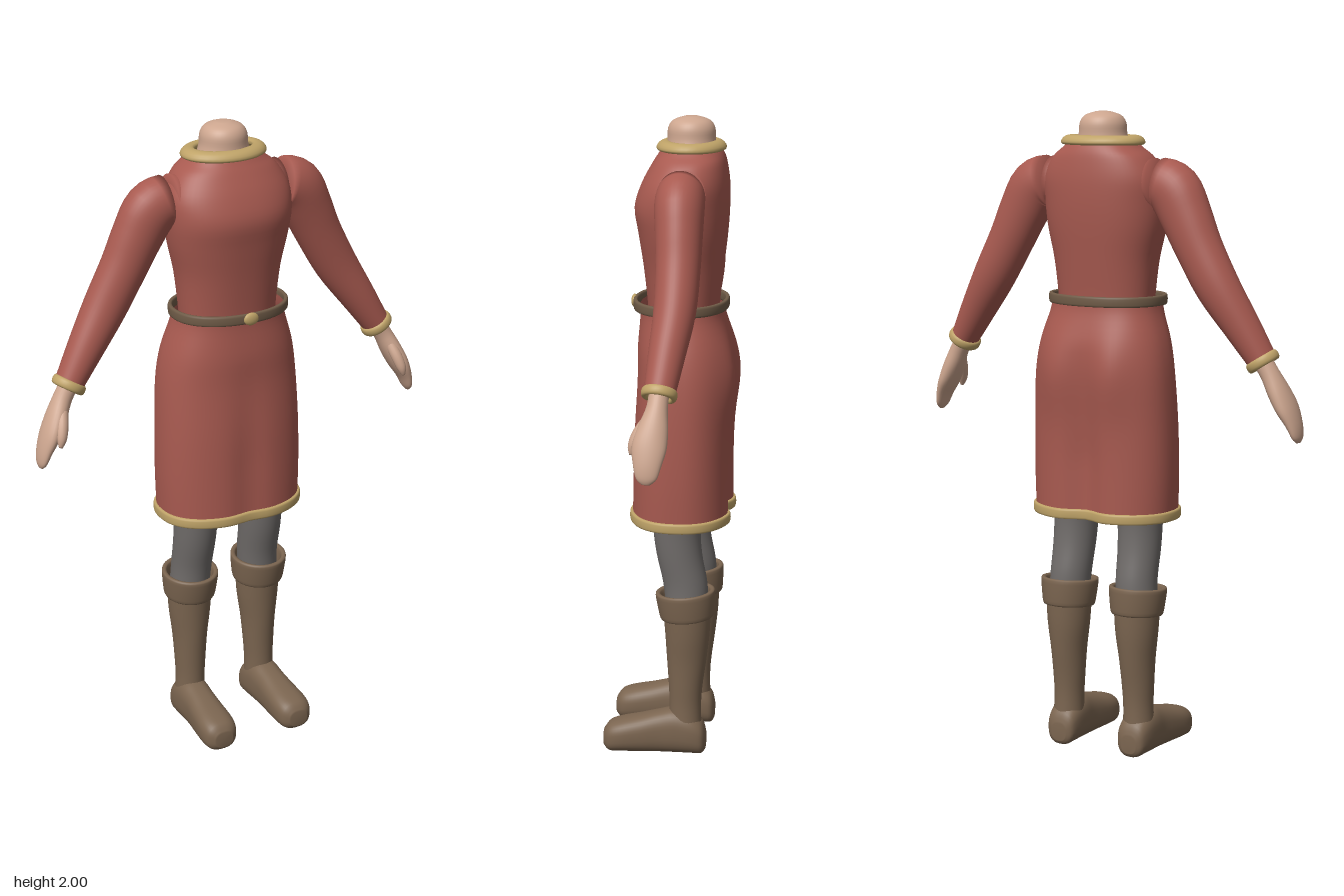
import * as THREE from 'three';

const mat = (name, color) => {
  const m = new THREE.MeshStandardMaterial({ color, side: THREE.DoubleSide });
  m.name = name;
  return m;
};
const V = (x, y, z) => new THREE.Vector3(x, y, z);
const UP = V(0, 1, 0);
const spow = (c, p) => Math.sign(c) * Math.pow(Math.abs(c), p);
const bump = (x, c, w) => Math.exp(-(((x - c) / w) ** 2));

// Skin a tube over rings [x, y, z, halfWidth, halfDepth]; dir fixes the ring plane
function loft(rings, { dir, sub = 4, seg = 40, p = 1, cap0, cap1, deform } = {}) {
  const mix = (k, t, j) => {
    const g = (n) => rings[Math.min(Math.max(n, 0), rings.length - 1)][j];
    const [a, b, c, d] = [g(k - 1), g(k), g(k + 1), g(k + 2)];
    return b + 0.5 * t * (c - a + t * (2 * a - 5 * b + 4 * c - d + t * (3 * (b - c) + d - a)));
  };
  const secs = [];
  for (let k = 0; k < rings.length - 1; k++)
    for (let s = 0; s < sub; s++) secs.push([0, 1, 2, 3, 4].map((j) => mix(k, s / sub, j)));
  secs.push(rings[rings.length - 1]);
  const ctr = secs.map((s) => V(s[0], s[1], s[2]));
  const pos = [], idx = [];
  secs.forEach((s, i) => {
    const d = dir ? dir.clone() : ctr[Math.min(i + 1, ctr.length - 1)].clone().sub(ctr[Math.max(i - 1, 0)]);
    d.normalize();
    const u = V(1, 0, 0).addScaledVector(d, -d.x).normalize();
    const v = u.clone().cross(d);
    for (let j = 0; j < seg; j++) {
      const a = (j / seg) * Math.PI * 2;
      const q = ctr[i].clone().addScaledVector(u, s[3] * spow(Math.cos(a), p)).addScaledVector(v, s[4] * spow(Math.sin(a), p));
      if (deform) deform(q);
      pos.push(q.x, q.y, q.z);
      if (i < secs.length - 1) {
        const A = i * seg + j, B = i * seg + ((j + 1) % seg);
        idx.push(A, A + seg, B, B, A + seg, B + seg);
      }
    }
  });
  const close = (i, flip) => {
    const n = pos.length / 3;
    pos.push(...ctr[i].toArray());
    for (let j = 0; j < seg; j++) {
      const A = i * seg + j, B = i * seg + ((j + 1) % seg);
      idx.push(...(flip ? [n, A, B] : [n, B, A]));
    }
  };
  if (cap0) close(0, true);
  if (cap1) close(secs.length - 1, false);
  const g = new THREE.BufferGeometry();
  g.setAttribute('position', new THREE.Float32BufferAttribute(pos, 3));
  g.setIndex(idx);
  g.computeVertexNormals();
  return g;
}

// Rounded closed band: radii rx/rz, half thickness t, half height h, flare widens the top
function band(c, rx, rz, t, h, { dir = UP, flare = 0, round = 0.6, ...rest } = {}) {
  const d = dir.clone().normalize(), rings = [], n = 16;
  for (let i = 0; i <= n; i++) {
    const f = Math.PI + (i / n) * Math.PI * 2;
    const s = spow(Math.sin(f), round), k = t * spow(Math.cos(f), round) + flare * s;
    const q = c.clone().addScaledVector(d, h * s);
    rings.push([q.x, q.y, q.z, rx + k, rz + k]);
  }
  return loft(rings, { dir: d, sub: 1, ...rest });
}

// Cloth folds of the skirt: full seat, hollow between the legs
function drape(q) {
  const low = Math.min(Math.max((1.3 - q.y) / 0.35, 0), 1);
  if (q.z < -0.05) {
    q.z += 0.035 * low * bump(q.x, 0, 0.055);
    q.z -= 0.016 * bump(q.y, 1.21, 0.12) * bump(Math.abs(q.x), 0.1, 0.06);
  } else if (q.z > 0.03) q.z -= 0.012 * low * bump(q.x, 0, 0.05);
}

export function createModel() {
  const cloth = mat('red cloth', 0xa85a50), gold = mat('gold trim', 0xbfa368);
  const leather = mat('boot leather', 0x7b6550), beltM = mat('belt leather', 0x6f5b47);
  const skin = mat('skin', 0xcda68f), grey = mat('grey trousers', 0x706c6a);
  const root = new THREE.Group();
  const add = (name, geo, m, parent = root) => {
    const mesh = new THREE.Mesh(geo, m);
    mesh.name = name;
    parent.add(mesh);
    return mesh;
  };

  // Tunic top and skirt
  add('tunicTop', loft([
    [0, 1.36, -0.03, 0.15, 0.105], [0, 1.44, -0.03, 0.156, 0.11], [0, 1.55, -0.03, 0.168, 0.122],
    [0, 1.65, -0.028, 0.19, 0.135], [0, 1.73, -0.025, 0.2, 0.143], [0, 1.8, -0.035, 0.198, 0.132],
    [0, 1.86, -0.047, 0.165, 0.112], [0, 1.89, -0.052, 0.128, 0.098], [0, 1.91, -0.052, 0.105, 0.086],
  ], { dir: UP, seg: 56, p: 0.88 }), cloth);
  add('skirt', loft([
    [0, 0.77, -0.03, 0.232, 0.157], [0, 0.9, -0.031, 0.236, 0.155], [0, 1.05, -0.034, 0.234, 0.153],
    [0, 1.2, -0.04, 0.226, 0.15], [0, 1.3, -0.036, 0.21, 0.145], [0, 1.39, -0.028, 0.182, 0.13],
    [0, 1.43, -0.025, 0.175, 0.128],
  ], { dir: UP, seg: 72, p: 0.85, deform: drape }), cloth);
  add('hemTrim', band(V(0, 0.77, -0.03), 0.233, 0.158, 0.008, 0.016, { seg: 72, p: 0.85, deform: drape }), gold);

  // Belt and buckle
  add('belt', band(V(0, 1.431, -0.0225), 0.183, 0.14, 0.007, 0.016, { seg: 56, p: 0.92 }), beltM);
  const buckle = add('buckle', new THREE.SphereGeometry(0.025, 16, 10), gold);
  buckle.scale.set(1, 0.8, 0.4);
  buckle.position.set(0, 1.431, 0.124);

  // Neck and collar
  add('neck', loft([
    [0, 1.84, -0.052, 0.1, 0.085], [0, 1.89, -0.052, 0.088, 0.078], [0, 1.93, -0.052, 0.075, 0.073],
    [0, 1.965, -0.052, 0.071, 0.071], [0, 1.988, -0.052, 0.055, 0.055], [0, 2, -0.052, 0.02, 0.02],
  ], { dir: UP, cap1: true }), skin);
  add('collar', band(V(0, 1.914, -0.052), 0.114, 0.084, 0.02, 0.015, { flare: -0.008, round: 0.9 }), gold);

  for (const [side, s] of [['left', 1], ['right', -1]]) {
    const flip = (rings) => rings.map(([x, ...r]) => [s * x, ...r]);
    const arm = new THREE.Group(), leg = new THREE.Group();
    arm.name = side + 'Arm';
    leg.name = side + 'Leg';
    root.add(arm, leg);

    // Sleeve with cuff
    add(side + 'Sleeve', loft(flip([
      [0.12, 1.765, -0.045, 0.07, 0.06], [0.185, 1.785, -0.045, 0.078, 0.07], [0.245, 1.765, -0.046, 0.085, 0.074],
      [0.29, 1.69, -0.05, 0.08, 0.07], [0.335, 1.6, -0.053, 0.073, 0.066], [0.4, 1.485, -0.052, 0.068, 0.062],
      [0.475, 1.37, -0.038, 0.056, 0.054], [0.542, 1.265, -0.025, 0.043, 0.045],
    ]), { cap0: true }), cloth, arm);
    const wrist = V(s * 0.065, -0.105, 0.012);
    add(side + 'CuffTrim', band(V(s * 0.538, 1.27, -0.025), 0.044, 0.044, 0.009, 0.015, { dir: wrist, round: 0.9 }), gold, arm);

    // Mitten-like hand and thumb
    add(side + 'Hand', loft(flip([
      [0.528, 1.285, -0.025, 0.03, 0.03], [0.56, 1.235, -0.022, 0.029, 0.031], [0.588, 1.18, -0.014, 0.031, 0.044],
      [0.613, 1.13, -0.006, 0.028, 0.05], [0.634, 1.085, -0.003, 0.02, 0.041], [0.645, 1.048, -0.002, 0.013, 0.03],
      [0.648, 1.031, -0.002, 0.005, 0.012],
    ]), { cap1: true, seg: 28 }), skin, arm);
    add(side + 'Thumb', loft(flip([
      [0.575, 1.2, 0.005, 0.017, 0.017], [0.586, 1.165, 0.028, 0.018, 0.018], [0.596, 1.13, 0.043, 0.015, 0.015],
      [0.602, 1.105, 0.047, 0.006, 0.006],
    ]), { cap1: true, seg: 16 }), skin, arm);

    // Trouser leg
    add(side + 'Trouser', loft(flip([
      [0.125, 0.48, -0.055, 0.064, 0.066], [0.12, 0.56, -0.05, 0.064, 0.069], [0.118, 0.66, -0.03, 0.067, 0.071],
      [0.116, 0.76, -0.022, 0.071, 0.075], [0.112, 0.92, -0.025, 0.085, 0.087], [0.1, 1.15, -0.03, 0.095, 0.1],
    ]), { dir: UP, cap1: true }), grey, leg);

    // Boot: shaft, folded top and foot
    add(side + 'BootShaft', loft(flip([
      [0.13, 0.06, -0.052, 0.05, 0.052], [0.128, 0.15, -0.051, 0.047, 0.05], [0.127, 0.22, -0.052, 0.05, 0.053],
      [0.126, 0.31, -0.055, 0.056, 0.062], [0.125, 0.4, -0.057, 0.067, 0.07], [0.125, 0.5, -0.055, 0.073, 0.076],
    ]), { dir: UP }), leather, leg);
    add(side + 'BootFold', band(V(s * 0.125, 0.495, -0.053), 0.078, 0.081, 0.009, 0.044,
      { dir: V(0, 1, 0.08), flare: 0.005, round: 0.45 }), leather, leg);
    add(side + 'Foot', loft(flip([
      [0.129, 0.042, -0.116, 0.025, 0.028], [0.129, 0.052, -0.104, 0.045, 0.052], [0.13, 0.066, -0.07, 0.053, 0.066],
      [0.131, 0.073, -0.02, 0.054, 0.073], [0.132, 0.068, 0.03, 0.053, 0.068], [0.134, 0.06, 0.09, 0.057, 0.06],
      [0.136, 0.053, 0.15, 0.06, 0.053], [0.137, 0.046, 0.188, 0.052, 0.046], [0.137, 0.042, 0.207, 0.03, 0.026],
    ]), { dir: V(0, 0, 1), p: 0.78, cap0: true, cap1: true, deform: (q) => { q.y = Math.max(q.y, 0); } }), leather, leg);
  }
  return root;
}
